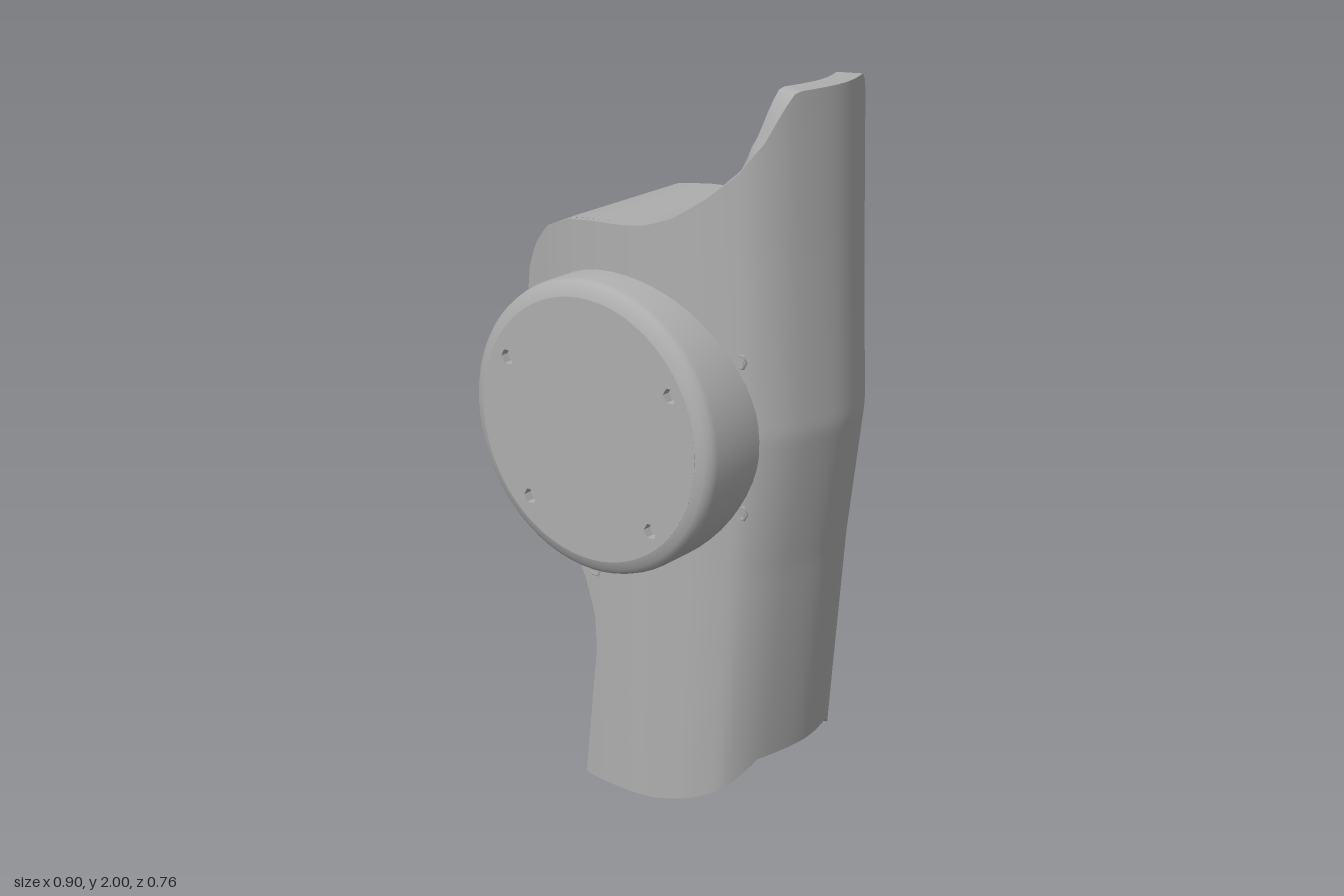
import * as THREE from 'three';
import { toCreasedNormals } from 'three/addons/utils/BufferGeometryUtils.js';

// Linear lookup in a table of [key, value]
function lookup(table, k) {
  if (k <= table[0][0]) return table[0][1];
  for (let i = 1; i < table.length; i++) {
    const [k0, v0] = table[i - 1], [k1, v1] = table[i];
    if (k <= k1) return v0 + (v1 - v0) * (k - k0) / (k1 - k0);
  }
  return table[table.length - 1][1];
}

// Height to x: free front edge, free flap edge, outermost spine
const FRONT_EDGE = [[0, -0.18], [0.2, -0.155], [0.4, -0.13], [0.5, -0.135], [0.6, -0.17], [0.7, -0.23],
  [0.78, -0.31], [0.9, -0.4], [1.09, -0.435]];
const FLAP_EDGE = [[0, -0.17], [0.2, -0.15], [0.45, -0.1], [0.7, -0.05]];
const SPINE = [[0, 0.325], [0.13, 0.335], [0.7, 0.39], [1.1, 0.447], [1.6, 0.43], [2, 0.42]];
// x to height: sweeping top cut, upper edge of the flap
const TOP = [[-0.435, 1.3], [-0.42, 1.42], [-0.385, 1.5], [-0.32, 1.57], [-0.23, 1.61], [-0.12, 1.625],
  [-0.03, 1.63], [0.05, 1.64], [0.13, 1.67], [0.22, 1.73], [0.3, 1.8], [0.35, 1.88], [0.39, 2]];
const FLAP_TOP = [[-0.06, 0.7], [0, 0.71], [0.1, 0.75], [0.2, 0.85], [0.3, 1.05]];
// z to height: notched bottom rim
const BOTTOM = [[-0.37, 0.03], [-0.23, 0.13], [0.09, 0.13], [0.2, 0.04], [0.25, 0]];
const CUP = new THREE.Vector2(-0.05, 1.095);

// C-shaped cross-section, stored as (x, z) from the front edge round the spine to the back
const section = new THREE.SplineCurve([[-0.46, 0.16], [-0.25, 0.232], [-0.03, 0.26], [0.18, 0.235],
  [0.29, 0.203], [0.36, 0.16], [0.415, 0.07], [0.447, -0.08], [0.425, -0.2], [0.38, -0.28], [0.31, -0.312],
  [0.18, -0.35], [0, -0.378], [-0.2, -0.368]].map(p => new THREE.Vector2(...p)));

function sectionAt(t, y) {
  const p = section.getPointAt(t);
  if (p.x > 0) p.x *= lookup(SPINE, y) / 0.447;
  return p;
}

let peak = 0;
for (let t = 0; t <= 1; t += 0.002) if (section.getPointAt(t).x > section.getPointAt(peak).x) peak = t;

// Position along the section where the front (end 0) or back (end 1) branch reaches x
function findT(x, y, end) {
  let inner = peak, outer = end;
  for (let i = 0; i < 24; i++) {
    const m = (inner + outer) / 2;
    if (sectionAt(m, y).x < x) outer = m; else inner = m;
  }
  return inner;
}
const SEAM = findT(0.31, 1.1, 1);

// Thick curved sheet between two edges; heights above `base` are squeezed under the top cut
function sheet({ from, to, columns, rows, height, base, top, wall }) {
  const N = columns, M = 2 * (N + 1), pos = [], index = [];
  for (let j = 0; j <= rows; j++) {
    const y = height * j / rows, t0 = from(y), t1 = to(y), outer = [], inner = [];
    for (let i = 0; i <= N; i++) {
      const t = t0 + (t1 - t0) * i / N;
      let yy = y;
      if (y < 0.3) {
        const b = lookup(BOTTOM, section.getPointAt(t).y);
        yy = b + y * (0.3 - b) / 0.3;
      } else if (y > base) {
        yy = base + (y - base) * (lookup(top, sectionAt(t, y).x) - base) / (height - base);
      }
      const p = sectionAt(t, yy);
      const d = sectionAt(Math.min(1, t + 0.004), yy).sub(sectionAt(Math.max(0, t - 0.004), yy)).normalize();
      outer.push([p.x, yy, p.y]);
      inner.unshift([p.x + d.y * wall, yy, p.y - d.x * wall]);
    }
    pos.push(...outer.flat(), ...inner.flat());
  }
  // Leave out the round opening behind the cup
  const inOpening = (a, b) => {
    const x = (pos[3 * a] + pos[3 * b]) / 2, y = (pos[3 * a + 1] + pos[3 * b + 1]) / 2;
    return pos[3 * a + 2] > 0.03 && Math.hypot(x - CUP.x, y - CUP.y) < 0.38;
  };
  const quad = (a, b, c, d) => index.push(a, b, c, a, c, d);
  for (let j = 0; j < rows; j++) for (let i = 0; i < M; i++) {
    const a = j * M + i, b = j * M + (i + 1) % M;
    if (!inOpening(a, b + M)) quad(a, b, b + M, a + M);
  }
  // Bottom and top rims
  const last = rows * M;
  for (let i = 0; i < N; i++) {
    const k = M - 1 - i;
    quad(i, k, k - 1, i + 1);
    quad(last + i, last + i + 1, last + k - 1, last + k);
  }
  const g = new THREE.BufferGeometry();
  g.setAttribute('position', new THREE.Float32BufferAttribute(pos, 3));
  g.setIndex(index);
  return toCreasedNormals(g, 0.6);
}

function slab(points, z0, z1, steps = 1) {
  const shape = new THREE.Shape(points.map(p => new THREE.Vector2(...p)));
  return new THREE.ExtrudeGeometry(shape, { depth: z1 - z0, bevelEnabled: false, steps }).translate(0, 0, z0);
}

// Solid arch over the joint, pressed against the inside of the shell
function archGeometry() {
  const outline = [[0.43, 1.2], [0.43, 2], ...TOP.slice().reverse(), [-0.435, 1.2]];
  for (let i = 0; i <= 24; i++) {
    const a = Math.PI * (0.85 - 0.7 * i / 24);
    outline.push([-0.03 + 0.38 * Math.cos(a), 1.01 + 0.38 * Math.sin(a)]);
  }
  const g = slab(outline, 0, 1, 10), p = g.attributes.position;
  for (let i = 0; i < p.count; i++) {
    const y = p.getY(i), edge = lookup(SPINE, y);
    let x = Math.min(p.getX(i), edge - 0.02);
    const front = sectionAt(findT(x, y, 0), y).y - 0.02;
    const z = -0.245 + p.getZ(i) * (front + 0.245);
    if (z < -0.08) x = Math.min(x, sectionAt(peak + (SEAM - peak) * Math.min(1, (-0.08 - z) / 0.232), y).x - 0.015);
    p.setXYZ(i, x, y, z);
  }
  return toCreasedNormals(g, 0.5);
}

export function createModel() {
  const model = new THREE.Group();
  const gray = new THREE.MeshStandardMaterial({ color: 0xaeaeae, side: THREE.DoubleSide });
  gray.name = 'gray';
  const add = (name, geometry) => {
    const mesh = new THREE.Mesh(geometry, gray);
    mesh.name = name;
    model.add(mesh);
    return mesh;
  };

  add('shell', sheet({
    from: y => findT(lookup(FRONT_EDGE, y), y, 0), to: () => SEAM,
    columns: 64, rows: 90, height: 2, base: 1.1, top: TOP, wall: 0.07,
  }));
  add('backFlap', sheet({
    from: () => SEAM, to: y => findT(lookup(FLAP_EDGE, y), y, 1),
    columns: 24, rows: 30, height: 1.05, base: 0.3, top: FLAP_TOP, wall: 0.07,
  }));
  add('arch', archGeometry());

  // Round cup: rolled wall, face plate with four blind holes, and floor
  const wall = [[0.355, 0.345], [0.355, 0.11], [0.405, 0.11], [0.405, 0.34], [0.4, 0.358], [0.385, 0.372], [0.36, 0.38]];
  const cup = new THREE.LatheGeometry(wall.map(p => new THREE.Vector2(...p)), 64);
  cup.rotateX(Math.PI / 2).translate(CUP.x, CUP.y, 0);
  add('cupWall', toCreasedNormals(cup, 0.6));
  const disc = new THREE.Shape().absarc(CUP.x, CUP.y, 0.361, 0, Math.PI * 2);
  for (const [x, y] of [[-0.32, 1.245], [0.23, 1.25], [-0.25, 0.865], [0.165, 0.865]]) {
    const hole = new THREE.Path();
    for (let i = 0; i < 6; i++) {
      const a = -i * Math.PI / 3;
      hole[i ? 'lineTo' : 'moveTo'](x + 0.022 * Math.cos(a), y + 0.022 * Math.sin(a));
    }
    hole.closePath();
    disc.holes.push(hole);
  }
  const face = new THREE.ExtrudeGeometry(disc, { depth: 0.025, bevelEnabled: false, curveSegments: 64 });
  add('cupFace', face.translate(0, 0, 0.355));
  add('cupFloor', new THREE.CylinderGeometry(0.358, 0.358, 0.01, 64).rotateX(Math.PI / 2).translate(CUP.x, CUP.y, 0.35));

  // Liner inside the back flap, with a pointed upper corner
  add('flapLiner', toCreasedNormals(slab([[0.26, 0.92], [0.19, 0.83], [0.1, 0.74], [0, 0.705], [-0.235, 0.705],
    [-0.17, 0.6], [-0.135, 0.52], [-0.125, 0.4], [-0.14, 0.3], [-0.155, 0.2], [0.17, 0.18], [0.2, 0.5]], -0.31, -0.245), 0.5));

  // Stiffener inside the front corner
  add('cornerRib', new THREE.BoxGeometry(0.07, 0.55, 0.09).translate(0.185, 0.475, 0.125));

  // Small socket rims on the flap and around the cup
  const socket = new THREE.TorusGeometry(0.018, 0.006, 4, 6);
  const sockets = [[0.17, 0.56, -0.346], [0, 0.575, -0.376], [0.14, 0.205, -0.346], [-0.05, 0.225, -0.376],
    [-0.4, 1.31, 0.187], [0.31, 1.31, 0.19], [0.31, 0.89, 0.18], [-0.13, 0.64, 0.253]];
  for (const p of sockets) add('socket', socket).position.set(...p);

  return model;
}
